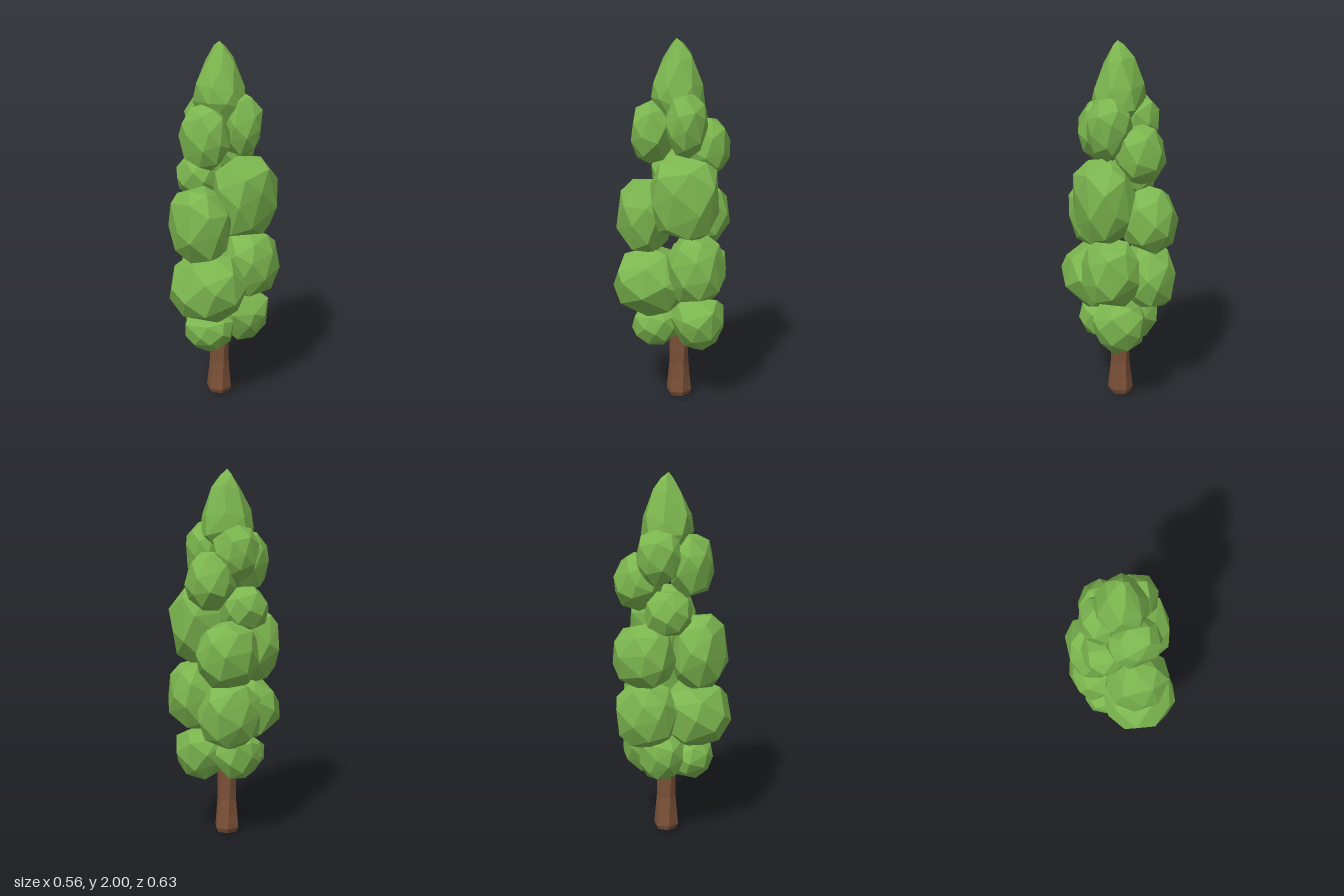
import * as THREE from 'three';
import { ConvexGeometry } from 'three/addons/geometries/ConvexGeometry.js';

// Small seeded generator, so every clump keeps its own fixed shape
function seeded(seed) {
  let s = seed * 7919 + 17;
  return () => (s = (s * 16807) % 2147483647) / 2147483647;
}

// Irregular faceted boulder filling the box centre +- radii.
// taper > 0 narrows it towards the bottom; fullness 2 is round, more is boxy
function clumpGeometry(centre, radii, seed, taper = 0, fullness = 2.35) {
  const rand = seeded(seed), points = [], count = 28;
  for (let i = 0; i < 5; i++) rand();
  const turn = rand() * Math.PI * 2;
  for (let i = 0; i < count; i++) {
    const y = 1 - (2 * i + 1) / count;
    const r = Math.sqrt(1 - y * y), a = i * 2.39996 + turn;
    const p = new THREE.Vector3(Math.cos(a) * r, y, Math.sin(a) * r);
    p.add(new THREE.Vector3(rand() - 0.5, rand() - 0.5, rand() - 0.5).multiplyScalar(0.28));
    const sum = [p.x, p.y, p.z].reduce((t, v) => t + Math.abs(v) ** fullness, 0);
    p.divideScalar(sum ** (1 / fullness));
    const narrow = 1 + taper * p.y;
    points.push(p.set(p.x * narrow, p.y, p.z * narrow));
  }
  const box = new THREE.Box3().setFromPoints(points);
  const mid = box.getCenter(new THREE.Vector3());
  const half = box.getSize(new THREE.Vector3()).multiplyScalar(0.5);
  const scale = new THREE.Vector3(...radii), offset = new THREE.Vector3(...centre);
  for (const p of points) p.sub(mid).divide(half).multiply(scale).add(offset);
  return new ConvexGeometry(points);
}

// Pointed crown: convex hull of irregular rings under an apex
function crownGeometry() {
  const rand = seeded(5);
  const points = [new THREE.Vector3(0.01, 2, -0.02)];
  const rings = [[1.975, 0.034, 5], [1.895, 0.083, 6], [1.775, 0.134, 7], [1.67, 0.143, 8], [1.59, 0.105, 6]];
  rings.forEach(([y, radius, n], k) => {
    for (let i = 0; i < n; i++) {
      const a = ((i + k * 0.5 + rand() * 0.3) / n) * Math.PI * 2;
      points.push(new THREE.Vector3(0.005 + Math.cos(a) * radius,
        y + (rand() - 0.5) * (y < 1.9 ? 0.05 : 0.015), -0.027 + Math.sin(a) * radius));
    }
  });
  return new ConvexGeometry(points);
}

// Tapered faceted trunk with a flared foot and a slight twist
function trunkGeometry() {
  const profile = [[0, 0.005], [0.058, 0.015], [0.07, 0.04], [0.062, 0.11], [0.053, 0.2], [0.051, 0.32], [0.045, 0.48], [0, 0.5]];
  const lathe = new THREE.LatheGeometry(profile.map(([r, y]) => new THREE.Vector2(r, y)), 6);
  const pos = lathe.attributes.position;
  for (let i = 0; i < pos.count; i++) {
    const x = pos.getX(i), y = pos.getY(i), z = pos.getZ(i);
    const twist = y * 1.2, c = Math.cos(twist), s = Math.sin(twist);
    pos.setXYZ(i, x * c + z * s - 0.002 + y * 0.01, y, z * c - x * s - 0.032);
  }
  const flat = lathe.toNonIndexed();
  flat.computeVertexNormals();
  return flat;
}

export function createModel() {
  const group = new THREE.Group();
  const leafGreen = new THREE.MeshStandardMaterial({ color: 0x7cb64f });
  leafGreen.name = 'leafGreen';
  const barkBrown = new THREE.MeshStandardMaterial({ color: 0x7b5138 });
  barkBrown.name = 'barkBrown';

  const add = (name, geometry, material) => {
    const mesh = new THREE.Mesh(geometry, material);
    mesh.name = name;
    group.add(mesh);
  };

  add('trunk', trunkGeometry(), barkBrown);
  add('crownTip', crownGeometry(), leafGreen);

  // Leaf clumps from top to bottom: name, centre, radii, taper, fullness
  const clumps = [
    ['upperFrontClump', [0.033, 1.51, 0.105], [0.143, 0.17, 0.115]],
    ['upperLeftClump', [0.1, 1.555, -0.1], [0.115, 0.17, 0.105], 0.1],
    ['upperRightClump', [-0.1, 1.56, -0.035], [0.115, 0.155, 0.125], 0.1, 2.2],
    ['upperBackClump', [-0.055, 1.42, -0.165], [0.13, 0.155, 0.125]],
    ['middleLeftClump', [0.13, 1.165, -0.095], [0.15, 0.225, 0.188], 0.08, 2.7],
    ['middleRightClump', [-0.1, 1.265, 0.02], [0.12, 0.12, 0.125]],
    ['middleFrontClump', [0.04, 1.04, 0.15], [0.175, 0.2, 0.15], 0, 2.4],
    ['middleBackClump', [-0.13, 1.03, -0.11], [0.145, 0.185, 0.17], 0, 2.2],
    ['lowerBackClump', [0.11, 0.785, -0.155], [0.155, 0.19, 0.16], -0.05],
    ['lowerFrontClump', [0.065, 0.685, 0.11], [0.205, 0.195, 0.203], 0, 2.15],
    ['lowerRightClump', [-0.138, 0.71, -0.095], [0.142, 0.185, 0.175], 0, 2.25],
    ['bottomBackClump', [0.06, 0.46, -0.16], [0.14, 0.15, 0.142], 0.2],
    ['bottomRightClump', [-0.1, 0.465, -0.025], [0.12, 0.135, 0.13], 0.15],
    ['bottomFrontClump', [0.045, 0.425, 0.085], [0.14, 0.11, 0.125], 0.15],
  ];
  clumps.forEach(([name, centre, radii, taper, fullness], i) =>
    add(name, clumpGeometry(centre, radii, i + 1, taper, fullness), leafGreen));
  return group;
}
